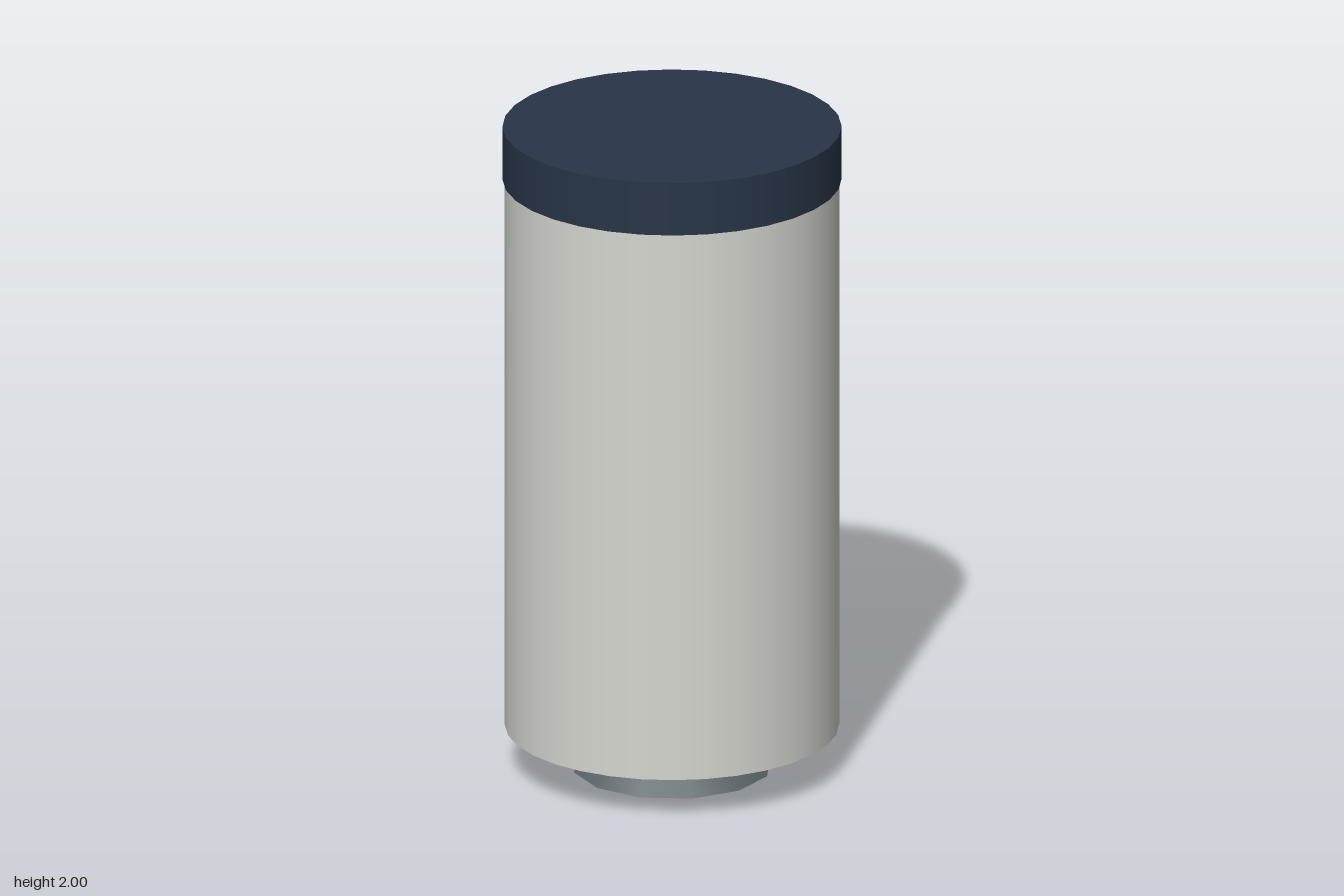
import * as THREE from 'three';

const material = (name, color) => {
  const m = new THREE.MeshStandardMaterial({ color });
  m.name = name;
  return m;
};

export function createModel() {
  const model = new THREE.Group();
  model.name = 'canister';

  // Upright round section between two heights
  const addSection = (name, mat, topRadius, bottomRadius, y0, y1, sides) => {
    const geometry = new THREE.CylinderGeometry(topRadius, bottomRadius, y1 - y0, sides);
    const mesh = new THREE.Mesh(geometry, mat);
    mesh.name = name;
    mesh.position.y = (y0 + y1) / 2;
    model.add(mesh);
  };

  // Flared nozzle, main tank and slightly wider end cap
  addSection('nozzle', material('dark grey', 0x5c666a), 0.2, 0.295, 0, 0.13, 12);
  addSection('tank', material('light grey', 0xd6d6d0), 0.493, 0.493, 0.13, 1.836, 32);
  addSection('topCap', material('navy', 0x283547), 0.5, 0.5, 1.836, 2, 32);

  return model;
}
